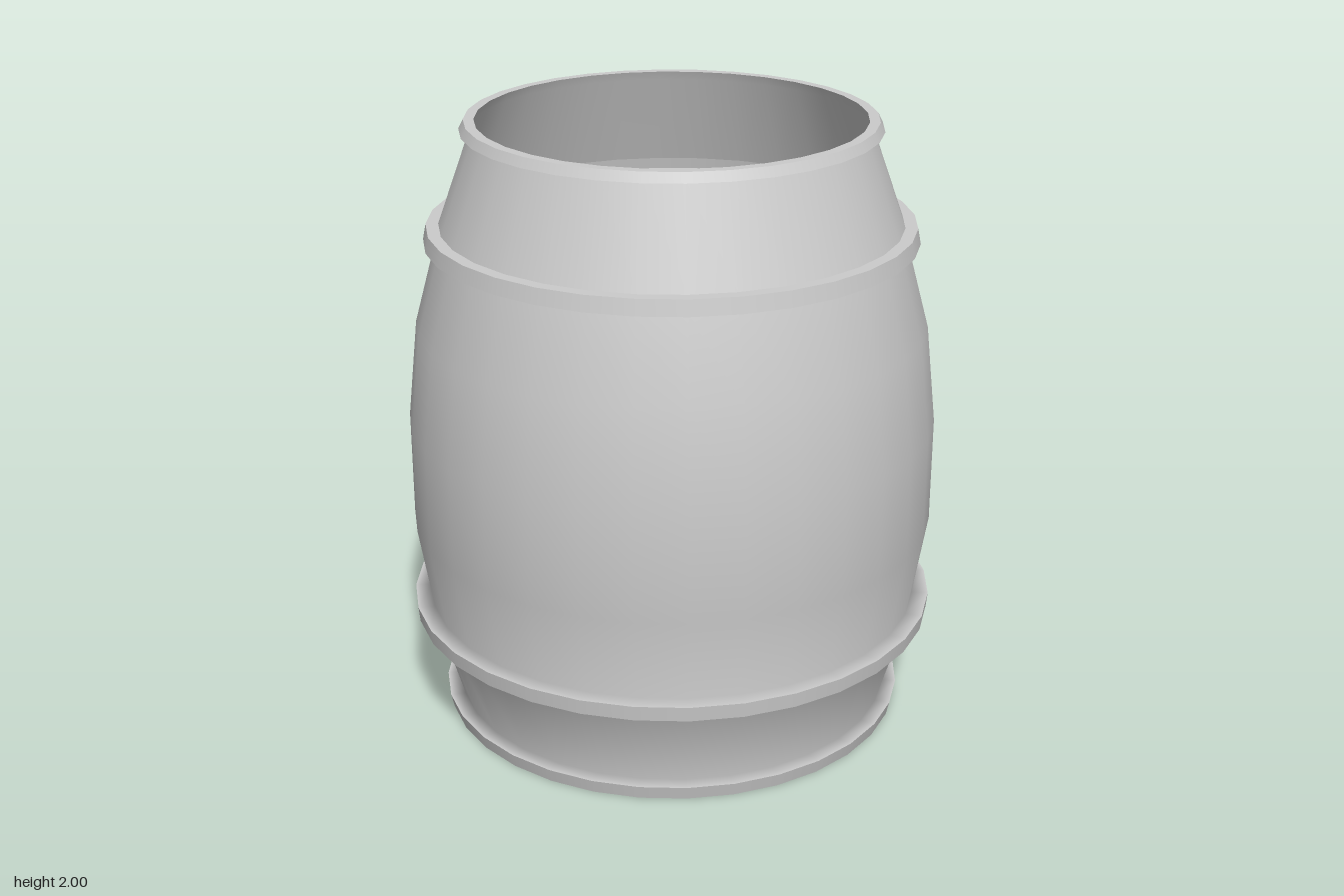
import * as THREE from 'three';

const SIDES = 32;

export function createModel() {
  const barrel = new THREE.Group();
  barrel.name = 'barrel';
  const material = new THREE.MeshStandardMaterial({ color: 0xcccccc, side: THREE.DoubleSide });

  // Revolves a [radius, height] profile, listed from bottom to top
  const turn = (name, profile) => {
    const points = profile.map(([r, y]) => new THREE.Vector2(r, y));
    const mesh = new THREE.Mesh(new THREE.LatheGeometry(points, SIDES), material);
    mesh.name = name;
    barrel.add(mesh);
  };

  // Base disc, also the floor seen through the open top
  const base = new THREE.Mesh(new THREE.CircleGeometry(0.765, SIDES), material);
  base.name = 'base';
  base.rotation.x = Math.PI / 2;
  barrel.add(base);

  // Outer bands of the four hoops
  turn('footHoop', [[0.765, 0], [0.775, 0.045]]);
  turn('lowerHoop', [[0.865, 0.34], [0.87, 0.39]]);
  turn('upperHoop', [[0.79, 1.615], [0.78, 1.665]]);
  turn('rimHoop', [[0.665, 1.97], [0.65, 2]]);

  // Foot wall, with the ledges of the hoops above and below it
  turn('foot', [[0.775, 0.045], [0.725, 0.045], [0.81, 0.34], [0.865, 0.34]]);

  // Bulging belly, starting on the ledge of the lower hoop
  turn('belly', [
    [0.87, 0.39], [0.815, 0.39], [0.86, 0.67], [0.86, 1.02],
    [0.825, 1.34], [0.75, 1.615],
  ]);
  turn('upperHoopUnderside', [[0.75, 1.615], [0.79, 1.615]]);

  // Tapered neck and its ledges
  turn('upperHoopLedge', [[0.78, 1.665], [0.74, 1.665]]);
  turn('neck', [[0.74, 1.665], [0.63, 1.97], [0.617, 2]]);
  turn('rimUnderside', [[0.63, 1.97], [0.665, 1.97]]);
  turn('rimTop', [[0.65, 2], [0.617, 2]]);

  return barrel;
}
